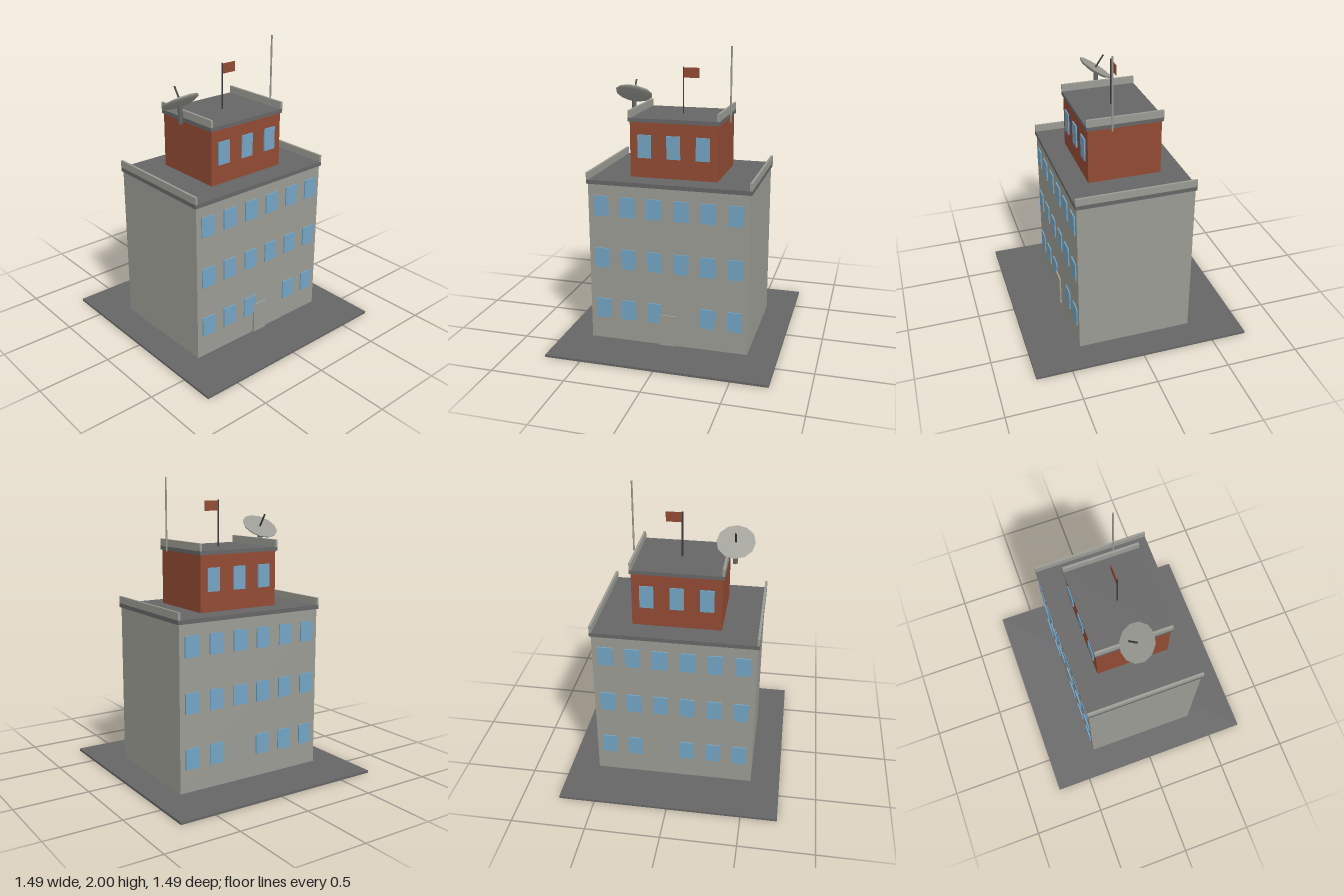
import * as THREE from 'three';

function material(name, color, side = THREE.FrontSide) {
  const m = new THREE.MeshStandardMaterial({ color, side });
  m.name = name;
  return m;
}

export function createModel() {
  const wall = material('concrete', 0x9b9b94);
  const roof = material('asphalt grey', 0x666666);
  const brick = material('red brick', 0x914a33);
  const glass = material('window blue', 0x72a4c3);
  const dark = material('dark metal', 0x3a3a3a);

  const model = new THREE.Group();
  model.name = 'building';

  const add = (name, geometry, mat, x, y, z, parent = model) => {
    const mesh = new THREE.Mesh(geometry, mat);
    mesh.name = name;
    mesh.position.set(x, y, z);
    parent.add(mesh);
    return mesh;
  };
  // Box standing on y0 and reaching y1
  const block = (name, mat, w, d, y0, y1, x = 0, z = 0) =>
    add(name, new THREE.BoxGeometry(w, y1 - y0, d), mat, x, (y0 + y1) / 2, z);
  // Upright rod from y0 to y1
  const rod = (name, mat, r, y0, y1, x, z, sides = 8) =>
    add(name, new THREE.CylinderGeometry(r, r, y1 - y0, sides), mat, x, (y0 + y1) / 2, z);

  // Ground and the two storeys blocks
  block('ground', roof, 1.49, 1.49, 0, 0.016);
  block('mainBlock', wall, 1.088, 0.792, 0.016, 1.113);
  block('upperBlock', brick, 0.594, 0.494, 1.141, 1.512);

  // Roof slabs with a parapet on each side edge
  const roofs = [
    { name: 'main', w: 1.108, d: 0.808, y: 1.113, top: 1.141, rim: 1.19 },
    { name: 'upper', w: 0.614, d: 0.514, y: 1.512, top: 1.538, rim: 1.587 },
  ];
  for (const r of roofs) {
    block(r.name + 'Roof', roof, r.w, r.d, r.y, r.top);
    for (const s of [-1, 1]) {
      block(r.name + 'Parapet', wall, 0.016, r.d, r.top, r.rim, s * (r.w / 2 - 0.008));
    }
  }

  // Windows, front and back alike; the ground floor leaves a gap near the door
  const pane = new THREE.BoxGeometry(0.1, 0.137, 0.0095);
  const upperPane = new THREE.BoxGeometry(0.092, 0.155, 0.0095);
  for (const s of [-1, 1]) {
    [0.24, 0.605, 0.968].forEach((y, row) => {
      for (let i = 0; i < 6; i++) {
        if (row === 0 && i === 3) continue;
        add('window', pane, glass, (i - 2.5) * 0.182, y, s * 0.4);
      }
    });
    for (let i = -1; i <= 1; i++) {
      add('upperWindow', upperPane, glass, i * 0.198, 1.351, s * 0.251);
    }
  }

  // Door
  block('door', wall, 0.11, 0.016, 0.016, 0.234, 0, 0.4);

  // Satellite dish: shallow bowl with a flat face, feed arm and post
  rod('dishPost', roof, 0.016, 1.512, 1.625, -0.348, 0);
  const dish = new THREE.Group();
  dish.name = 'satelliteDish';
  dish.position.set(-0.348, 1.664, 0);
  dish.rotation.x = -0.59;
  model.add(dish);
  const bowl = new THREE.SphereGeometry(0.127, 12, 5, 0, Math.PI * 2, Math.PI / 2, Math.PI / 2);
  bowl.scale(1, 0.26, 1);
  add('dishBowl', bowl, wall, 0, 0, 0, dish);
  const face = new THREE.CircleGeometry(0.127, 12);
  face.rotateX(-Math.PI / 2);
  add('dishFace', face, wall, 0, 0, 0, dish);
  add('dishFeed', new THREE.CylinderGeometry(0.006, 0.006, 0.1, 8), dark, 0, 0.05, 0, dish);

  // Flag and aerial
  rod('flagPole', dark, 0.005, 1.538, 1.85, 0, 0);
  block('flag', brick, 0.106, 0.005, 1.778, 1.845, 0.055);
  rod('aerial', wall, 0.006, 1.512, 2, 0.346, 0.1);

  return model;
}
